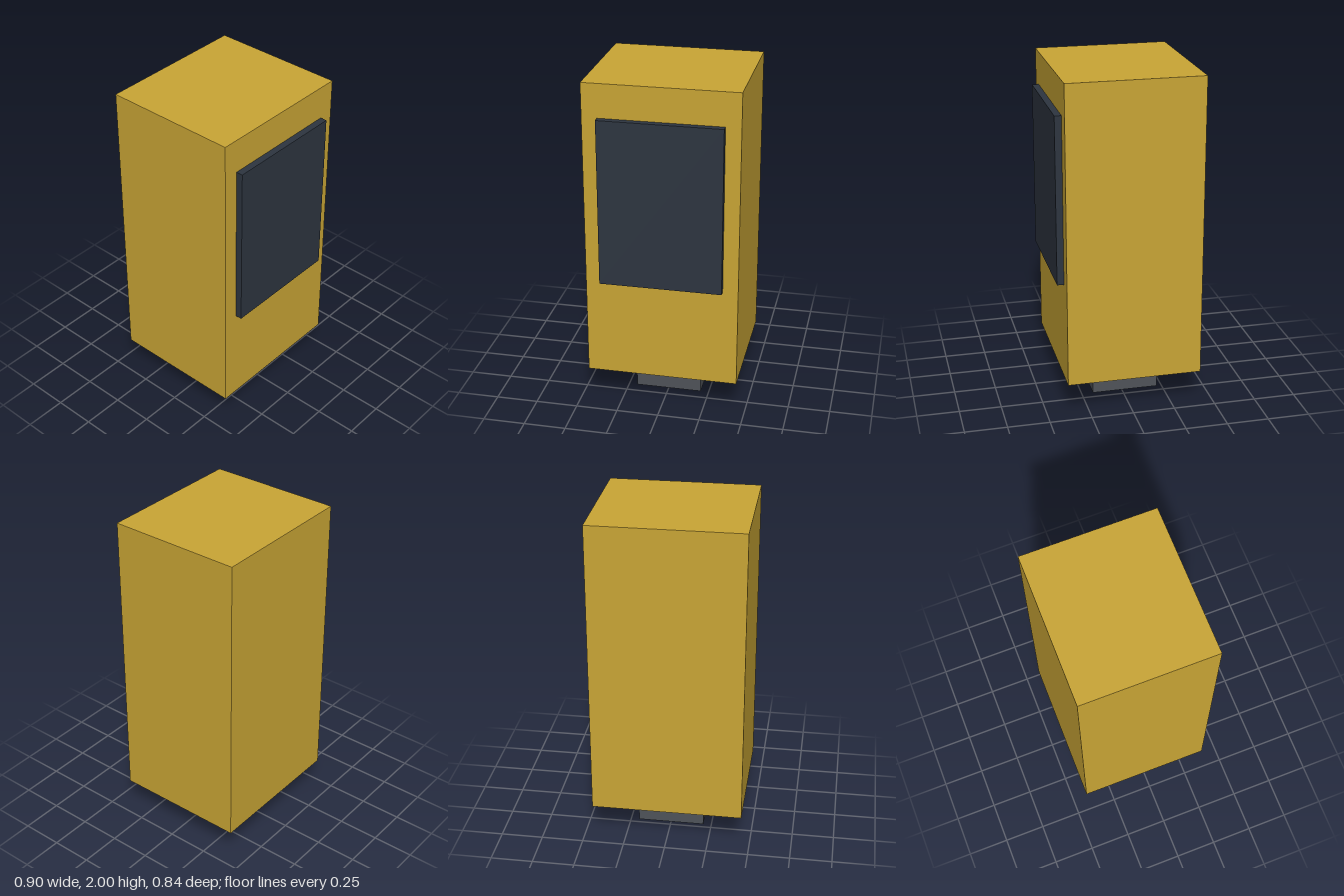
import * as THREE from 'three';

const mat = (name, color) => {
  const m = new THREE.MeshStandardMaterial({ color });
  m.name = name;
  return m;
};

export function createModel() {
  const group = new THREE.Group();
  group.name = 'kiosk';
  const yellow = mat('mustardYellow', 0xc9a535);
  const navy = mat('darkSlate', 0x2d3540);
  const grey = mat('steelGrey', 0x4f5359);

  const box = (name, material, [w, h, d], [x, y, z]) => {
    const mesh = new THREE.Mesh(new THREE.BoxGeometry(w, h, d), material);
    mesh.name = name;
    mesh.position.set(x, y, z);
    group.add(mesh);
  };

  // Tall cabinet
  box('cabinet', yellow, [0.9, 1.8, 0.8], [0, 1.1, -0.02]);
  // Raised panel on the front
  box('frontPanel', navy, [0.72, 1.0, 0.04], [0, 1.3, 0.4]);
  // Short post under the cabinet
  box('basePost', grey, [0.4, 0.2, 0.4], [0, 0.1, -0.02]);

  return group;
}
